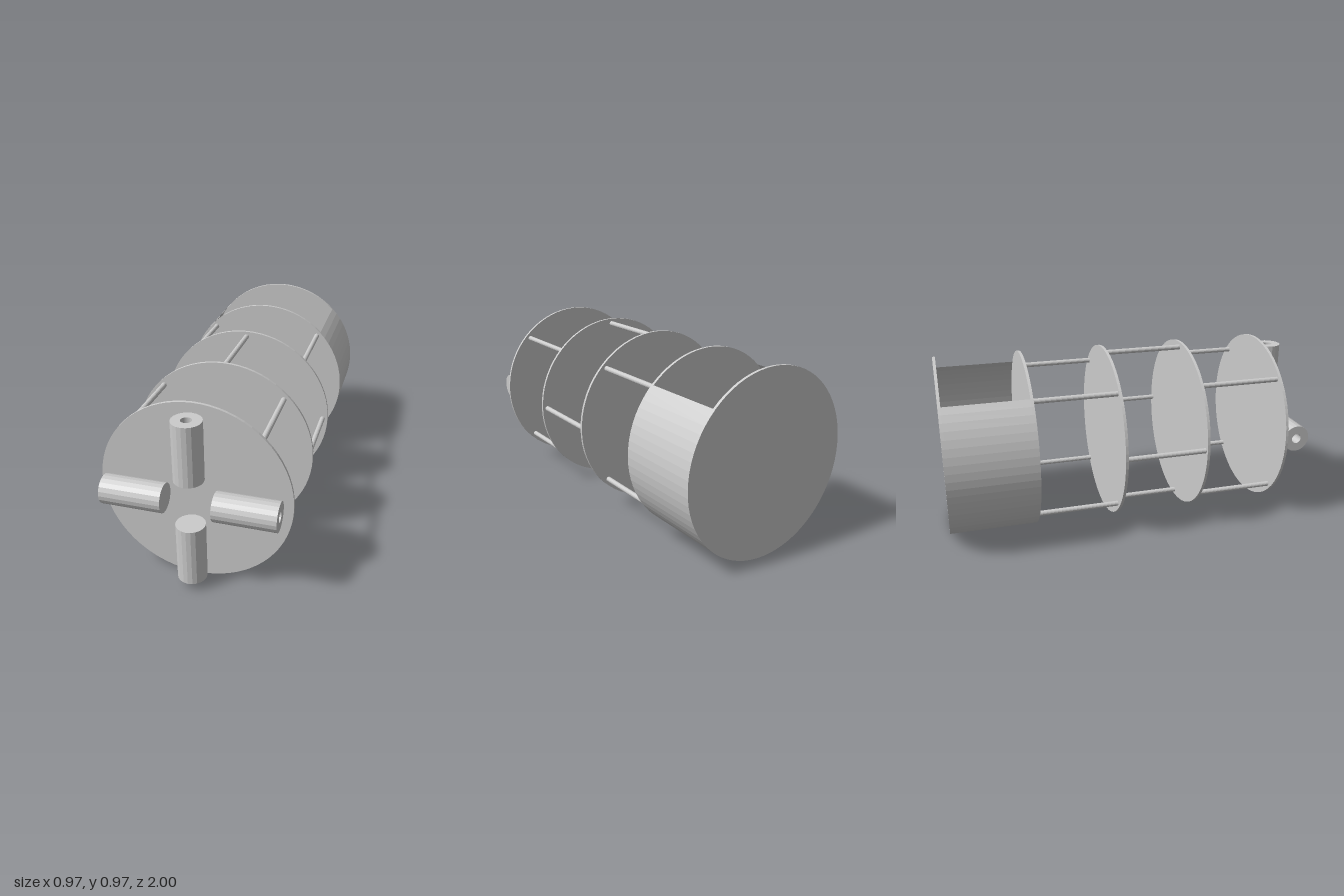
import * as THREE from 'three';

const R = 0.484, CY = 0.486, PLATE = 0.015;
const material = new THREE.MeshStandardMaterial({ color: 0xcccccc, flatShading: true });
const shellMaterial = new THREE.MeshStandardMaterial({ color: 0xcccccc, flatShading: true, side: THREE.DoubleSide });

// Cylinder lying along z between two depths, placed relative to the main axis
function zCylinder(name, r, zBack, zFront, x, y, sides) {
  const g = new THREE.CylinderGeometry(r, r, zFront - zBack, sides).rotateX(Math.PI / 2);
  const mesh = new THREE.Mesh(g, material);
  mesh.name = name;
  mesh.position.set(x, y, (zBack + zFront) / 2);
  return mesh;
}

export function createModel() {
  const model = new THREE.Group();
  model.name = 'frame';
  const body = new THREE.Group();
  body.name = 'body';
  body.position.y = CY;
  model.add(body);

  // Round plates, front to back
  const plates = [0.83, 0.37, -0.085, -0.545, -1];
  plates.forEach(z => body.add(zCylinder('plate', R, z, z + PLATE, 0, 0, 72)));

  // Four spacer rods per bay, turned 45 degrees from bay to bay
  for (let bay = 0; bay < 3; bay++) {
    for (let k = 0; k < 4; k++) {
      const a = k * Math.PI / 2 + (bay % 2 ? 0 : Math.PI / 4);
      body.add(zCylinder('spacerRod', 0.014, plates[bay + 1] + PLATE, plates[bay],
        0.455 * Math.cos(a), 0.455 * Math.sin(a), 16));
    }
  }

  // Rear drum wall, open over the top quarter
  const zA = plates[4], zB = plates[3] + PLATE;
  const wall = new THREE.Mesh(
    new THREE.CylinderGeometry(R, R, zB - zA - 2 * PLATE, 54, 1, true, -Math.PI * 0.75, Math.PI * 1.5)
      .rotateX(Math.PI / 2), shellMaterial);
  wall.name = 'drumWall';
  wall.position.z = (zA + zB) / 2;
  body.add(wall);

  // Front canisters with a blind bore in the outer end
  const profile = [[0, 0.125], [0.074, 0.125], [0.074, 0.436], [0.027, 0.436], [0.027, 0.17], [0, 0.17]]
    .map(p => new THREE.Vector2(...p));
  const canisterGeometry = new THREE.LatheGeometry(profile, 20);
  for (let k = 0; k < 4; k++) {
    const canister = new THREE.Mesh(canisterGeometry, material);
    canister.name = 'canister';
    canister.position.z = 0.923;
    canister.rotation.z = k * Math.PI / 2;
    body.add(canister);
  }

  // Small pin under the top canister
  const pin = new THREE.Mesh(new THREE.CylinderGeometry(0.007, 0.007, 0.01, 10), material);
  pin.name = 'pin';
  pin.position.set(0, 0.122, 0.923);
  body.add(pin);

  return model;
}
